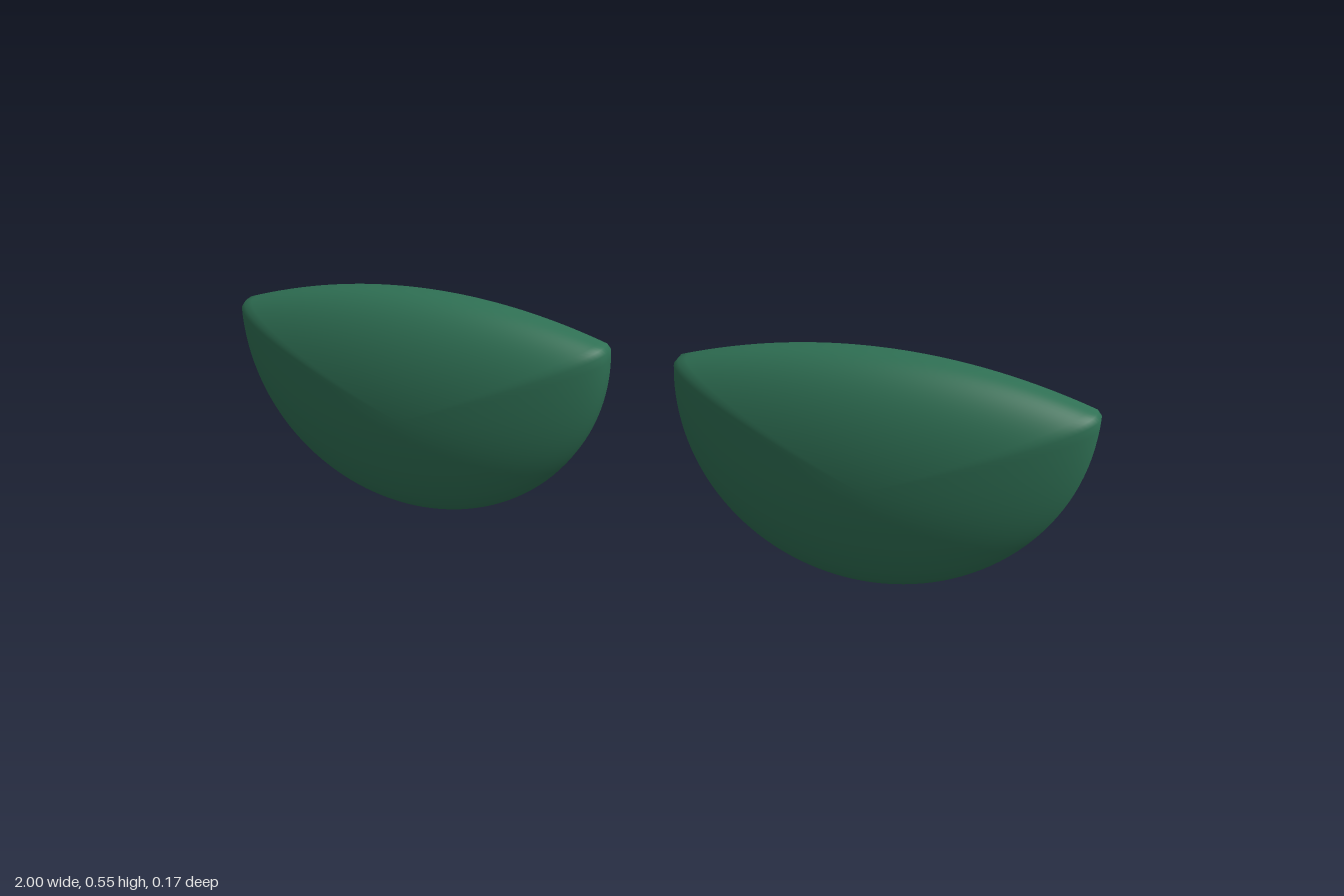
import * as THREE from 'three';

const CENTER_Y = 0.28; // height of the dome's peak
const BACK = -0.083, RIM = -0.055, FRONT = 0.083;

// Half-round outline, counter-clockwise: deep bowl below, shallow arch above
function outline() {
  const pts = [];
  for (let i = 0; i <= 64; i++) {
    const a = Math.PI * (1 + i / 64);
    pts.push(new THREE.Vector2(0.461 * Math.cos(a), 0.46 + 0.46 * Math.sin(a) - CENTER_Y));
  }
  for (let i = 0; i <= 48; i++) {
    const t = 1 - i / 24;
    pts.push(new THREE.Vector2(0.452 * t, 0.549 - 0.077 * t * t - CENTER_Y));
  }
  return pts;
}

// Domed shell: rings of the outline from the back edge to the front peak
function lensGeometry() {
  const edge = outline(), n = edge.length;
  const rings = [[0.985, BACK], [0.996, BACK + 0.002], [1, BACK + 0.007], [1, -0.068]];
  for (let i = 0; i <= 28; i++) {
    const a = (i / 28) * Math.PI / 2;
    rings.push([Math.cos(a), RIM + (FRONT - RIM) * Math.sin(a)]);
  }
  const pos = [], idx = [];
  for (const [s, z] of rings) {
    for (const p of edge) {
      // the corners soften into an oval towards the peak
      const a = Math.atan2(p.y / 0.27, p.x / 0.46);
      const k = 0.6 * (1 - s);
      const x = THREE.MathUtils.lerp(p.x, 0.46 * Math.cos(a), k);
      const y = THREE.MathUtils.lerp(p.y, 0.27 * Math.sin(a), k);
      pos.push(x * s, y * s, z);
    }
  }
  for (let i = 0; i < rings.length - 1; i++) {
    for (let j = 0; j < n; j++) {
      const a = i * n + j, b = i * n + (j + 1) % n;
      idx.push(a, b, b + n, a, b + n, a + n);
    }
  }
  const geo = new THREE.BufferGeometry();
  geo.setAttribute('position', new THREE.Float32BufferAttribute(pos, 3));
  geo.setIndex(idx);
  geo.computeVertexNormals();
  // the peak is a single point facing straight forward
  const normal = geo.attributes.normal;
  for (let j = 0; j < n; j++) normal.setXYZ((rings.length - 1) * n + j, 0, 0, 1);
  return geo;
}

export function createModel() {
  const group = new THREE.Group();
  const material = new THREE.MeshStandardMaterial({ color: 0x2f7054 });
  const domeGeo = lensGeometry();
  const backGeo = new THREE.ShapeGeometry(
    new THREE.Shape(outline().map((p) => p.multiplyScalar(0.985))));
  backGeo.rotateY(Math.PI); // symmetric outline, turned to face backwards

  for (const [side, sign] of [['left', 1], ['right', -1]]) {
    const lens = new THREE.Group();
    lens.name = side + 'Lens';
    const dome = new THREE.Mesh(domeGeo, material);
    dome.name = side + 'Dome';
    const back = new THREE.Mesh(backGeo, material);
    back.name = side + 'FlatBack';
    back.position.z = BACK;
    lens.add(dome, back);
    lens.position.set(sign * 0.539, CENTER_Y, 0);
    group.add(lens);
  }
  return group;
}
